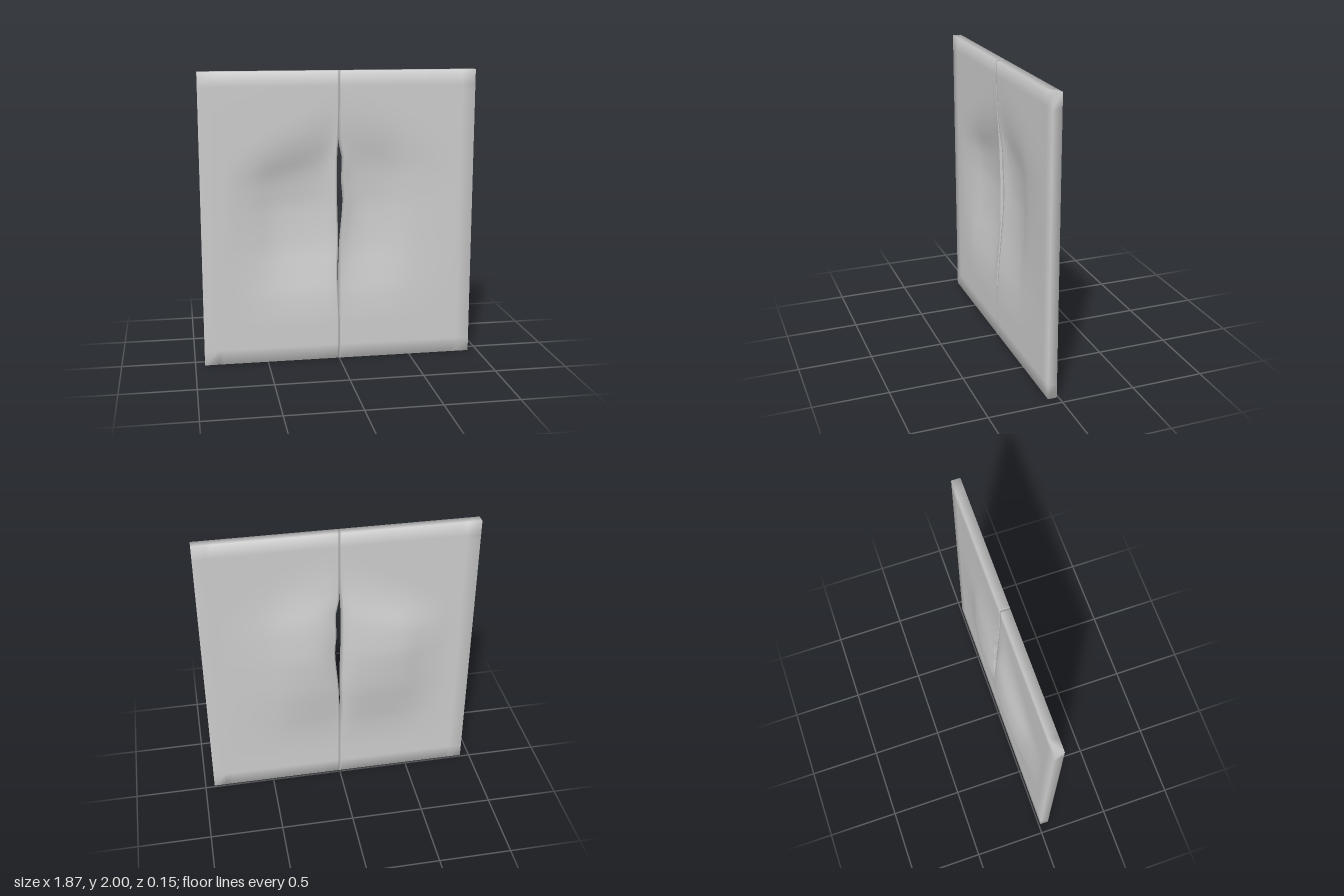
import * as THREE from 'three';
import { mergeVertices } from 'three/addons/utils/BufferGeometryUtils.js';

const FRONT = 0.073, BACK = 0.012, WIDTH = 0.935, HEIGHT = 2;

// Smooth interpolation through [position, value] keys, clamped at both ends.
function ease(keys, t) {
  const n = keys.length;
  if (t <= keys[0][0]) return keys[0][1];
  if (t >= keys[n - 1][0]) return keys[n - 1][1];
  let i = 0;
  while (keys[i + 1][0] < t) i++;
  const slope = (k) => (k <= 0 || k >= n - 1) ? 0
    : (keys[k + 1][1] - keys[k - 1][1]) / (keys[k + 1][0] - keys[k - 1][0]);
  const [a, va] = keys[i], [b, vb] = keys[i + 1];
  const h = b - a, u = (t - a) / h, u2 = u * u, u3 = u2 * u;
  return va * (2 * u3 - 3 * u2 + 1) + vb * (3 * u2 - 2 * u3)
    + h * (slope(i) * (u3 - 2 * u2 + u) + slope(i + 1) * (u3 - u2));
}

// Dent strength over the height, shared by both doors.
const dentHeight = [[0.25, 0], [0.45, 0.14], [0.6, 0.42], [0.8, 0.8], [1.05, 1],
  [1.2, 0.95], [1.4, 0.75], [1.6, 0.3], [1.75, 0.08], [1.95, 0]];

// Dent depth by distance from the seam, and how far the seam edge is bent aside.
const doors = [
  {
    name: 'rightDoor', side: -1, taper: 0.75,
    depth: [[0, 0.03], [0.05, 0.057], [0.1, 0.075], [0.28, 0.085], [0.45, 0.07], [0.6, 0.03], [0.8, 0]],
    bend: [[0.25, 0], [0.6, 0.01], [0.85, 0.004], [1.1, 0.01], [1.4, 0.012], [1.6, 0.003], [1.9, 0]],
  },
  {
    name: 'leftDoor', side: 1, taper: 0.35,
    depth: [[0, 0.035], [0.03, 0.045], [0.08, 0.06], [0.2, 0.07], [0.35, 0.058], [0.5, 0.026], [0.7, 0.008], [0.88, 0]],
    bend: [[0.3, 0], [0.6, 0.004], [0.8, 0.012], [1.1, 0.037], [1.25, 0.027], [1.4, 0.03], [1.52, 0.007], [1.9, 0]],
  },
];

// Grid lines: tight at the seam, one wide band along the outer borders.
const columns = [0, 0.012, 0.03, 0.055, 0.085];
for (let i = 1; i <= 19; i++) columns.push(0.085 + i * 0.04);
columns.push(WIDTH);
const rows = [0];
for (let i = 0; i <= 45; i++) rows.push(0.1 + i * 0.04);
rows.push(HEIGHT);

// One door slab whose front and back are pushed in together by the dent.
function makeDoor({ name, side, taper, depth, bend }) {
  const nx = columns.length - 1, ny = rows.length - 1;
  const box = new THREE.BoxGeometry(1, 1, 1, nx, ny, 1);
  box.deleteAttribute('uv');
  box.deleteAttribute('normal');
  const geometry = mergeVertices(box);
  const p = geometry.attributes.position;
  for (let i = 0; i < p.count; i++) {
    const c = Math.round((p.getX(i) + 0.5) * nx);
    const d = columns[side > 0 ? c : nx - c];
    const y = rows[Math.round((p.getY(i) + 0.5) * ny)];
    // The upper limit of the dent drops diagonally away from the seam.
    const yd = y > 1.05 ? 1.05 + (y - 1.05) * (1 + taper * d / 0.6) : y;
    const push = ease(depth, d) * ease(dentHeight, yd);
    const shift = ease(bend, y) * (1 - THREE.MathUtils.smoothstep(d, 0, 0.3));
    p.setXYZ(i, side * (d + shift), y, (p.getZ(i) > 0 ? FRONT : BACK) - push);
  }
  geometry.computeVertexNormals();
  const mesh = new THREE.Mesh(geometry, new THREE.MeshStandardMaterial({ color: 0xcccccc }));
  mesh.name = name;
  return mesh;
}

export function createModel() {
  const group = new THREE.Group();
  group.name = 'dentedDoubleDoor';
  for (const door of doors) group.add(makeDoor(door));
  return group;
}
